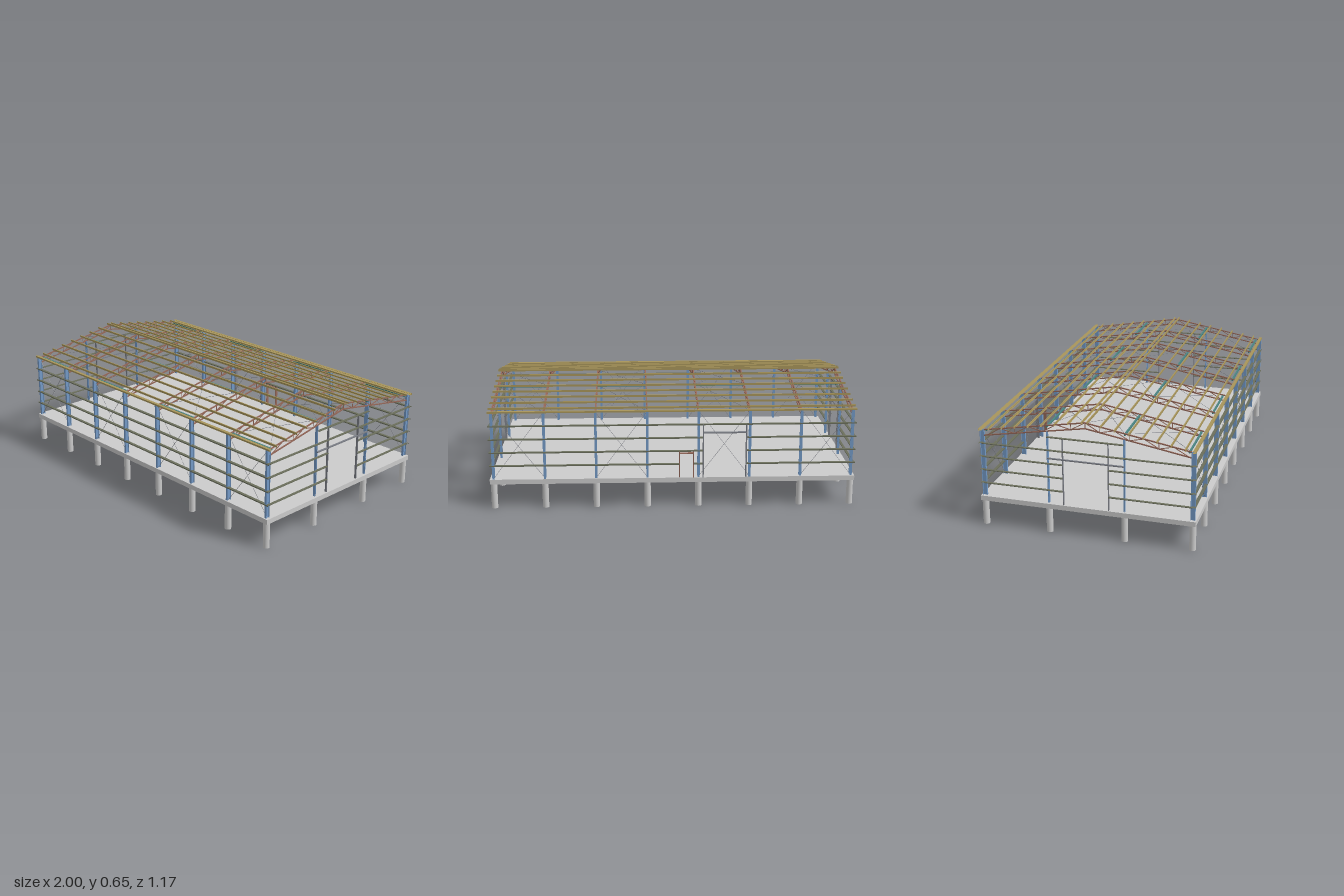
import * as THREE from 'three';
import { mergeGeometries } from 'three/addons/utils/BufferGeometryUtils.js';

const V = (x, y, z) => new THREE.Vector3(x, y, z);
const mat = (color) => new THREE.MeshStandardMaterial({ color, side: THREE.DoubleSide });

const GREY = mat(0xcccccc), STEEL = mat(0x7399c6), BROWN = mat(0x96695a);
const OLIVE = mat(0xa8955a), GIRT = mat(0x6b6f5c), TEAL = mat(0x4a8583), FRAME = mat(0x7d8088);

const FLOOR = 0.167, EAVE = 0.54, HALF_Z = 0.565, CHORD_Z = 0.553;
const FRAMES = Array.from({ length: 8 }, (_, i) => -0.98 + i * 0.28);
const BRACED = [0, 2, 4, 6];
const GIRT_Y = [0.242, 0.317, 0.392, 0.467];

// height of the top and bottom truss chords at z
const topY = (z) => 0.635 - 0.096 * Math.abs(z) / CHORD_Z;
const botY = (z) => topY(z) - 0.031;

// box given by its lower and upper bounds on each axis
function box(x0, x1, y0, y1, z0, z1) {
  return new THREE.BoxGeometry(x1 - x0, y1 - y0, z1 - z0)
    .translate((x0 + x1) / 2, (y0 + y1) / 2, (z0 + z1) / 2);
}

// square bar between two points
function bar(a, b, size) {
  const d = b.clone().sub(a);
  const m = new THREE.Matrix4().lookAt(b, a, V(0, Math.abs(d.y) > 0.99 * d.length() ? 0 : 1, Math.abs(d.y) > 0.99 * d.length() ? 1 : 0));
  m.setPosition(a.clone().add(b).multiplyScalar(0.5));
  return new THREE.BoxGeometry(size, size, d.length()).applyMatrix4(m);
}

// thin open profile of [y, z] points swept along x
function sheet(x0, x1, profile) {
  const pos = [];
  for (let i = 0; i + 1 < profile.length; i++) {
    const [ya, za] = profile[i], [yb, zb] = profile[i + 1];
    pos.push(x0, ya, za, x1, ya, za, x1, yb, zb, x0, ya, za, x1, yb, zb, x0, yb, zb);
  }
  const g = new THREE.BufferGeometry();
  g.setAttribute('position', new THREE.Float32BufferAttribute(pos, 3));
  g.computeVertexNormals();
  return g;
}

// I-section column, flanges facing z
function iColumn(x, z, w, d, y1) {
  const t = 0.002;
  return [
    box(x - w / 2, x + w / 2, FLOOR, y1, z - d / 2, z - d / 2 + t),
    box(x - w / 2, x + w / 2, FLOOR, y1, z + d / 2 - t, z + d / 2),
    box(x - t / 2, x + t / 2, FLOOR, y1, z - d / 2 + t, z + d / 2 - t),
  ];
}

export function createModel() {
  const group = new THREE.Group();
  const add = (name, parts, material) => {
    const mesh = new THREE.Mesh(mergeGeometries(parts), material);
    mesh.name = name;
    group.add(mesh);
  };

  // foundation: floor, perimeter beam and piles
  add('floorSlab', [box(-0.968, 0.968, 0.155, FLOOR, -0.55, 0.55)], GREY);
  const rim = [], piles = [];
  for (const s of [-1, 1]) {
    rim.push(box(-1, 1, 0.14, FLOOR, s * 0.5655 - 0.0175, s * 0.5655 + 0.0175));
    rim.push(box(s * 0.983 - 0.017, s * 0.983 + 0.017, 0.14, FLOOR, -0.548, 0.548));
    const spots = FRAMES.map((x) => [x, s * HALF_Z]);
    spots.push([-0.98, s * 0.205], [0.98, s * 0.205]);
    for (const [x, z] of spots)
      piles.push(new THREE.CylinderGeometry(0.0175, 0.0175, 0.14, 20).translate(x, 0.07, z));
  }
  add('perimeterBeam', rim, GREY);
  add('piles', piles, GREY);

  // columns
  const columns = [], gableColumns = [];
  for (const s of [-1, 1]) {
    for (const x of FRAMES) columns.push(...iColumn(x, s * 0.564, 0.013, 0.024, EAVE));
    for (const x of [-0.98, 0.98]) gableColumns.push(...iColumn(x, s * 0.205, 0.013, 0.008, botY(0.205)));
  }
  add('wallColumns', columns, STEEL);
  add('gableColumns', gableColumns, STEEL);

  // roof trusses: chords, diagonals and posts
  const chords = [], webs = [];
  for (const x of FRAMES) {
    for (const s of [-1, 1]) {
      const top = (z) => V(x, topY(z), s * z), bot = (z) => V(x, botY(z), s * z);
      chords.push(bar(top(CHORD_Z), top(0), 0.006), bar(bot(CHORD_Z), bot(0), 0.006));
      const step = 0.0768;
      for (let i = 0; i < 7; i++) {
        const a = i * step, b = a + step;
        webs.push(i % 2 ? bar(bot(a), top(b), 0.0035) : bar(top(a), bot(b), 0.0035));
        if (i % 2) webs.push(bar(bot(a), top(a), 0.003));
      }
    }
    webs.push(bar(V(x, botY(0), 0), V(x, topY(0), 0), 0.004));
  }
  add('trussChords', chords, BROWN);
  add('trussWebs', webs, BROWN);

  // channel purlins on the top chords
  const purlins = [];
  for (const s of [-1, 1]) {
    for (let i = 0; i < 8; i++) {
      const z = 0.016 + i * 0.0727, y = topY(z) + 0.002, h = 0.011, f = 0.006;
      purlins.push(sheet(-1, 1, [[y, s * (z - f)], [y, s * z], [y + h, s * z], [y + h, s * (z - f)]]));
    }
    purlins.push(sheet(-1, 1, [[EAVE, s * 0.56], [EAVE, s * 0.577], [EAVE + 0.009, s * 0.577], [EAVE + 0.009, s * 0.56]]));
  }
  add('purlins', purlins, OLIVE);

  // wall girts, leaving the openings free
  const longGirts = [], gableGirts = [];
  const girt = (x0, x1, y, s) => longGirts.push(sheet(x0, x1,
    [[y - 0.003, s * 0.579], [y + 0.003, s * 0.579], [y + 0.003, s * 0.563], [y - 0.003, s * 0.563]]));
  for (const y of GIRT_Y) {
    girt(-1, 1, y, 1);
    if (y > 0.42) girt(-1, 1, y, -1);
    else {
      girt(-1, -0.4, y, -1);
      if (y < 0.305) {
        girt(-0.165, -0.112, y, -1);
        girt(-0.036, 1, y, -1);
      } else girt(-0.165, 1, y, -1);
    }
    for (const s of [-1, 1]) {
      const gable = (z0, z1, h) => gableGirts.push(box(s * 0.99 - 0.007, s * 0.99 + 0.007, h - 0.002, h + 0.002, z0, z1));
      if (y > 0.42) {
        gable(-0.563, 0.563, y);
        gable(-0.205, 0.205, EAVE);
      } else {
        gable(-0.563, -0.122, y);
        gable(0.122, 0.563, y);
      }
    }
  }
  add('longWallGirts', longGirts, GIRT);
  add('gableGirts', gableGirts, GIRT);

  // gable gate frames
  const gates = [];
  for (const s of [-1, 1]) {
    const x = s * 0.988;
    for (const z of [-0.122, 0.122]) gates.push(box(x - 0.006, x + 0.006, FLOOR, EAVE, z - 0.002, z + 0.002));
    gates.push(box(x - 0.005, x + 0.005, 0.418, 0.424, -0.205, 0.205));
  }
  add('gableGateFrames', gates, FRAME);

  // gate and door frames in the back wall
  const frame = (x0, x1, y1, postTop, t) => [
    box(x0 - t, x0 + t, FLOOR, postTop, -0.583, -0.566),
    box(x1 - t, x1 + t, FLOOR, postTop, -0.583, -0.566),
    box(x0, x1, y1 - t, y1 + t, -0.583, -0.566),
  ];
  add('backGateFrame', frame(-0.4, -0.165, 0.421, 0.467, 0.003), FRAME);
  add('backDoorFrame', frame(-0.112, -0.036, 0.305, 0.318, 0.002), BROWN);

  // struts and crossed tie rods in the braced bays
  const struts = [], rods = [];
  const cross = (x0, x1, y0, y1, z0, z1) => rods.push(
    bar(V(x0, y0, z0), V(x1, y1, z1), 0.0015), bar(V(x1, y0, z0), V(x0, y1, z1), 0.0015));
  for (const i of BRACED) {
    const x0 = FRAMES[i], x1 = FRAMES[i + 1];
    for (const s of [-1, 1]) {
      struts.push(bar(V(x0, 0.536, s * 0.54), V(x1, 0.536, s * 0.54), 0.009));
      struts.push(bar(V(x0, 0.592, s * 0.207), V(x1, 0.592, s * 0.207), 0.009));
      cross(x0, x1, FLOOR, EAVE, s * 0.564, s * 0.564);
      cross(x0, x1, topY(0.55), topY(0.207), s * 0.55, s * 0.207);
      cross(x0, x1, topY(0.207), topY(0), s * 0.207, 0);
    }
  }
  add('braceStruts', struts, TEAL);
  add('tieRods', rods, FRAME);

  return group;
}
